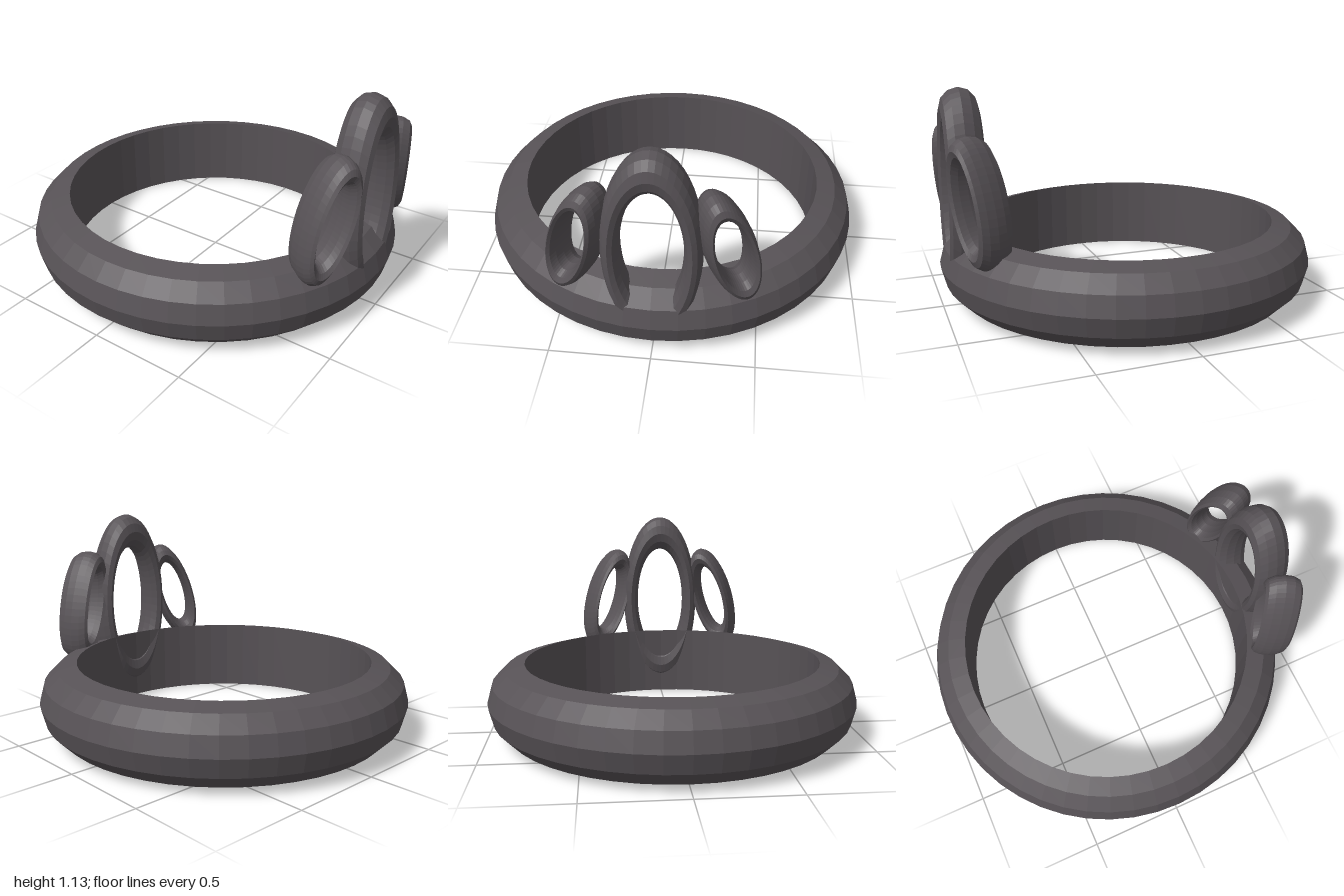
import * as THREE from 'three';

export function createModel() {
  const group = new THREE.Group();
  const material = new THREE.MeshStandardMaterial({ color: 0x575256, flatShading: true });

  // Band: half-round section, flat on the inside
  const profile = [];
  for (let i = 0; i <= 6; i++) {
    const a = -Math.PI / 2 + (i * Math.PI) / 6;
    profile.push(new THREE.Vector2(0.8 + 0.2 * Math.cos(a), 0.2 + 0.2 * Math.sin(a)));
  }
  profile.push(profile[0].clone());
  const band = new THREE.Mesh(new THREE.LatheGeometry(profile, 48), material);
  band.name = 'band';
  group.add(band);

  // Upright oval loop: torus stretched to outer half width, half height and half depth
  function addLoop(name, halfWidth, halfHeight, halfDepth, position, lean, yaw) {
    const tube = 0.235;
    const geometry = new THREE.TorusGeometry(1, tube, 12, 48);
    geometry.scale(halfWidth / (1 + tube), halfHeight / (1 + tube), halfDepth / tube);
    geometry.rotateZ(lean);
    geometry.rotateY(yaw);
    const loop = new THREE.Mesh(geometry, material);
    loop.name = name;
    loop.position.set(...position);
    group.add(loop);
  }

  addLoop('centreLoop', 0.235, 0.53, 0.095, [0, 0.6, 0.875], 0, 0);

  // Side loops lean towards the centre and follow the curve of the band
  for (const s of [1, -1]) {
    addLoop(s > 0 ? 'leftLoop' : 'rightLoop', 0.12, 0.32, 0.095,
      [s * 0.345, 0.617, 0.848], s * 0.297, s * 0.436);
  }
  return group;
}
